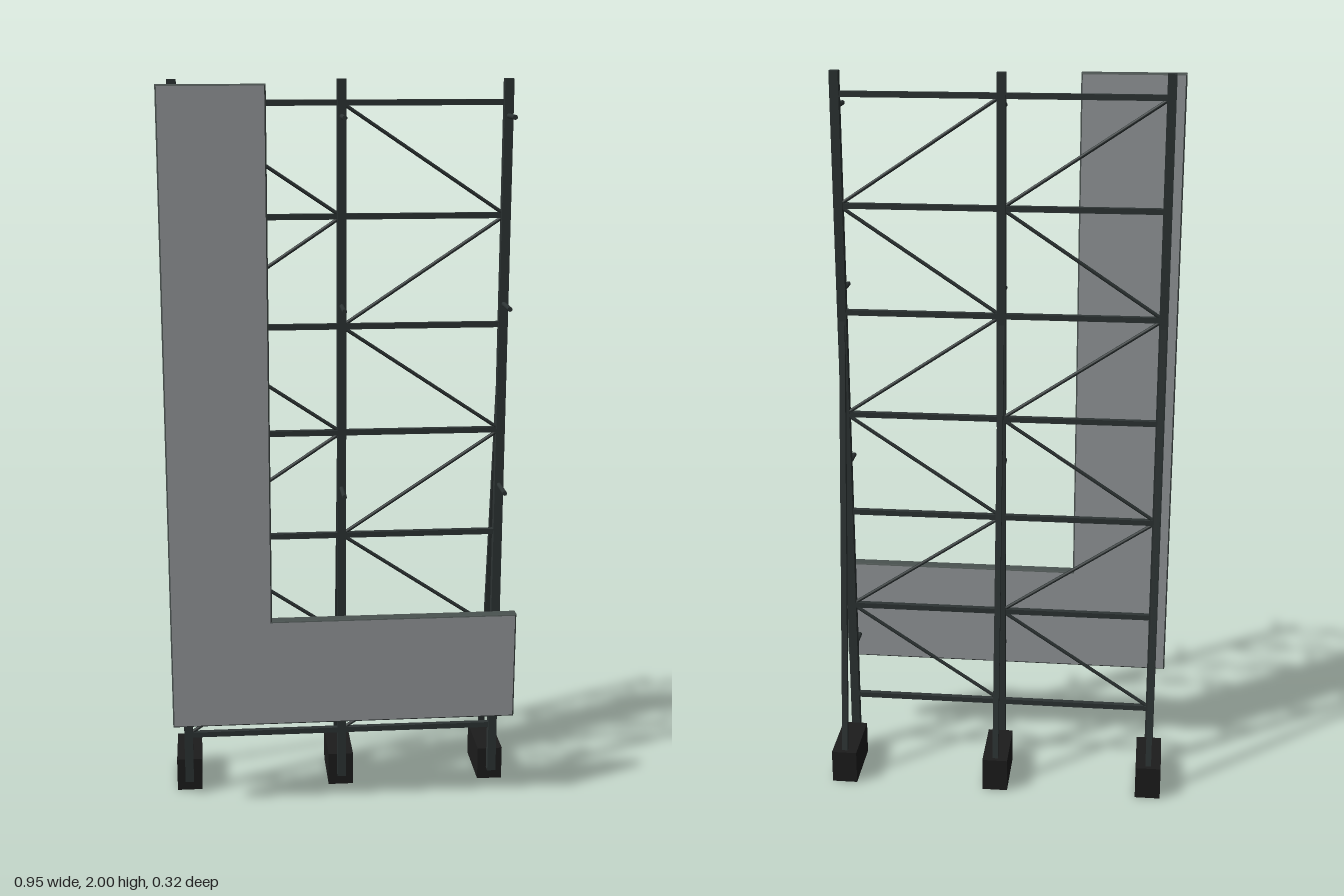
import * as THREE from 'three';

export function createModel() {
  const model = new THREE.Group();
  const mat = (name, color) => {
    const m = new THREE.MeshStandardMaterial({ color });
    m.name = name;
    return m;
  };
  const steel = mat('dark steel', 0x2d3434);
  const ballast = mat('black ballast', 0x1c1c1c);
  const face = mat('grey panel face', 0x979b9e);
  const edge = mat('panel edge', 0x4a5250);

  const add = (name, geometry, material) => {
    const mesh = new THREE.Mesh(geometry, material);
    mesh.name = name;
    model.add(mesh);
    return mesh;
  };

  // Straight bar between two points, square or round in section
  const bar = (name, a, b, width, round = false) => {
    const from = new THREE.Vector3(...a), to = new THREE.Vector3(...b);
    const dir = to.clone().sub(from), length = dir.length();
    const geometry = round
      ? new THREE.CylinderGeometry(width / 2, width / 2, length, 10)
      : new THREE.BoxGeometry(width, length, width);
    const mesh = add(name, geometry, steel);
    mesh.position.copy(from).add(to).multiplyScalar(0.5);
    mesh.quaternion.setFromUnitVectors(new THREE.Vector3(0, 1, 0), dir.normalize());
  };

  const postX = [-0.437, 0, 0.437];
  const frameZ = 0.033;
  const railY = Array.from({ length: 7 }, (_, i) => 0.183 + i * 0.2928);

  // Posts, each with a rear brace, a ballast block and panel standoffs
  for (const x of postX) {
    bar('post', [x, 0.04, frameZ], [x, 2, frameZ], 0.024);
    bar('rearBrace', [x, 1.345, 0.031], [x, 0.05, -0.146], 0.016);
    add('ballastBlock', new THREE.BoxGeometry(0.071, 0.095, 0.174), ballast)
      .position.set(x, 0.0475, -0.074);
    for (const y of [0.333, 0.905, 1.41, 1.905]) {
      bar('standoff', [x, y, frameZ], [x, y, 0.131], 0.013, true);
    }
  }

  // Horizontal rails
  for (const y of railY) {
    bar('rail', [postX[0], y, frameZ], [postX[2], y, frameZ], 0.015);
  }

  // Zigzag diagonals in both bays
  for (let bay = 0; bay < 2; bay++) {
    for (let i = 0; i < 6; i++) {
      const low = postX[bay + (i % 2)], high = postX[bay + 1 - (i % 2)];
      bar('diagonal', [low, railY[i], frameZ], [high, railY[i + 1], frameZ], 0.01, true);
    }
  }

  // Angled sign panel with a slightly bevelled dark edge
  const outline = new THREE.Shape([
    [-0.476, 0.262], [0.474, 0.262], [0.474, 0.565],
    [-0.2, 0.565], [-0.2, 1.99], [-0.476, 1.99],
  ].map(([x, y]) => new THREE.Vector2(x, y)));
  const panel = new THREE.ExtrudeGeometry(outline, {
    depth: 0.026, bevelEnabled: true, bevelThickness: 0.004,
    bevelSize: 0.004, bevelOffset: -0.004, bevelSegments: 2,
  });
  add('cornerPanel', panel, [face, edge]).position.z = 0.129;

  return model;
}
